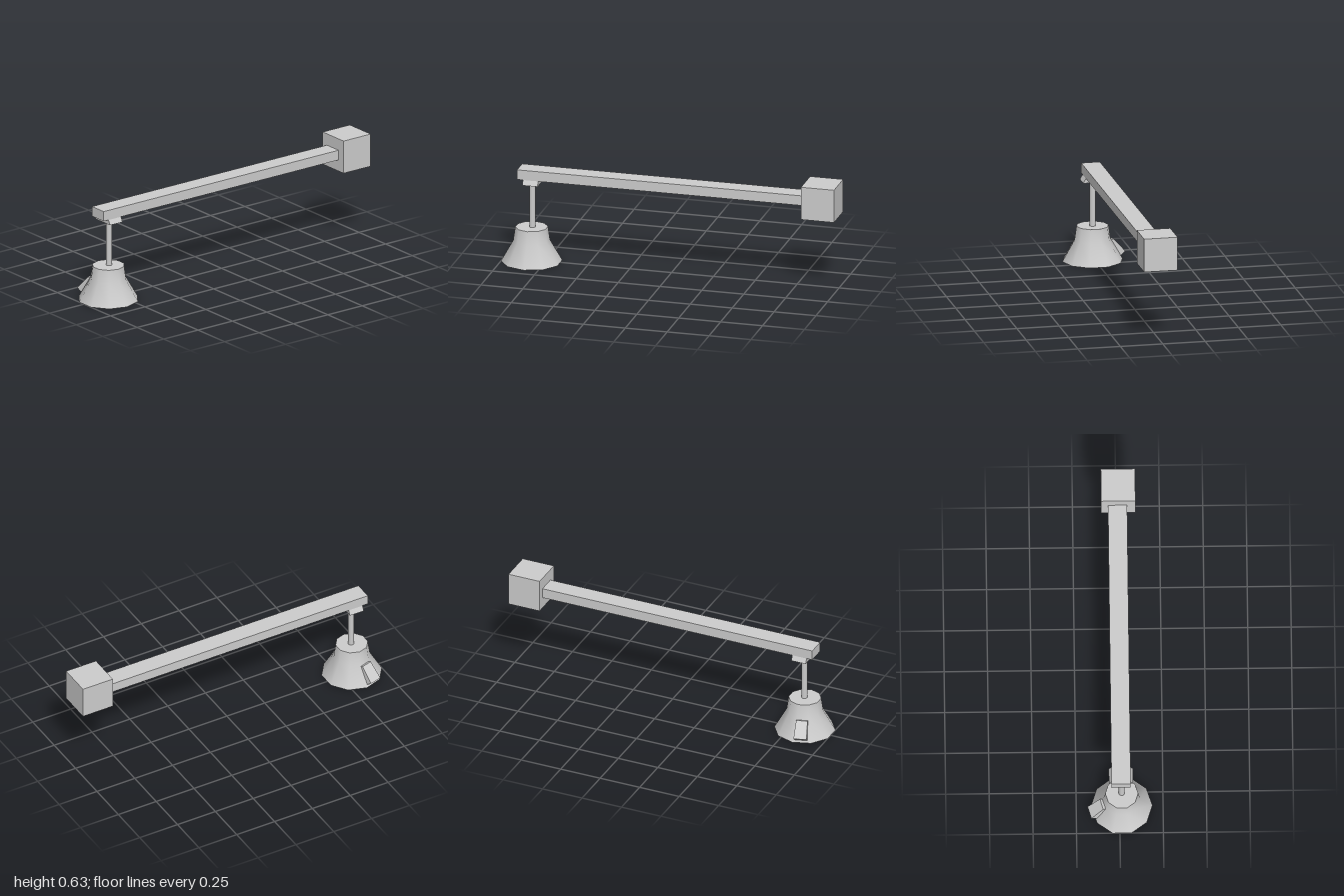
import * as THREE from 'three';
import { toCreasedNormals } from 'three/addons/utils/BufferGeometryUtils.js';

const AXIS_X = 0.012, AXIS_Z = 0.83;

export function createModel() {
  const model = new THREE.Group();
  const smooth = new THREE.MeshStandardMaterial({ color: 0xcccccc });
  const flat = new THREE.MeshStandardMaterial({ color: 0xcccccc, flatShading: true });

  const add = (name, geometry, material, x, y, z) => {
    const mesh = new THREE.Mesh(geometry, material);
    mesh.name = name;
    mesh.position.set(x, y, z);
    model.add(mesh);
    return mesh;
  };

  // Ten-sided flared base, closed at top and bottom
  const profile = [[0, 0], [0.177, 0], [0.106, 0.125], [0.0945, 0.207], [0, 0.207]]
    .map(([r, y]) => new THREE.Vector2(r, y));
  const base = toCreasedNormals(new THREE.LatheGeometry(profile, 10, Math.PI / 2), 0.9);
  add('base', base, smooth, AXIS_X, 0, AXIS_Z + 0.002);

  // Post rising from the base to the bracket
  add('post', new THREE.CylinderGeometry(0.018, 0.018, 0.275, 10), smooth, AXIS_X, 0.3405, AXIS_Z - 0.002);

  // Trapezoid bracket under the arm
  const trapezoid = new THREE.Shape([[-0.07, 0], [0.07, 0], [0.055, 0.028], [-0.055, 0.028]]
    .map(([x, y]) => new THREE.Vector2(x, y)));
  const bracket = new THREE.ExtrudeGeometry(trapezoid, { depth: 0.091, bevelEnabled: false });
  add('bracket', bracket, flat, 0.0075, 0.476, 0.779);

  // Long arm and the counterweight at its rear end
  add('arm', new THREE.BoxGeometry(0.11, 0.059, 1.715), flat, 0.0075, 0.5335, 0.0475);
  add('counterweight', new THREE.BoxGeometry(0.197, 0.197, 0.197), flat, 0.0115, 0.534, -0.9015);

  // Tapered pedal leaning on the base: x runs outwards, y up, z across
  const pedal = new THREE.BoxGeometry(1, 1, 1);
  const p = pedal.attributes.position;
  for (let i = 0; i < p.count; i++) {
    const outer = p.getX(i) > 0, upper = p.getY(i) > 0, side = Math.sign(p.getZ(i));
    const [r, y] = upper ? (outer ? [0.121, 0.119] : [0.106, 0.114])
      : (outer ? [0.194, 0.038] : [0.16, 0.012]);
    p.setXYZ(i, r, y, side * (upper ? 0.033 : 0.038));
  }
  pedal.computeVertexNormals();
  add('pedal', pedal, flat, AXIS_X, 0, AXIS_Z + 0.002).rotation.y = Math.PI + 0.28;

  return model;
}
